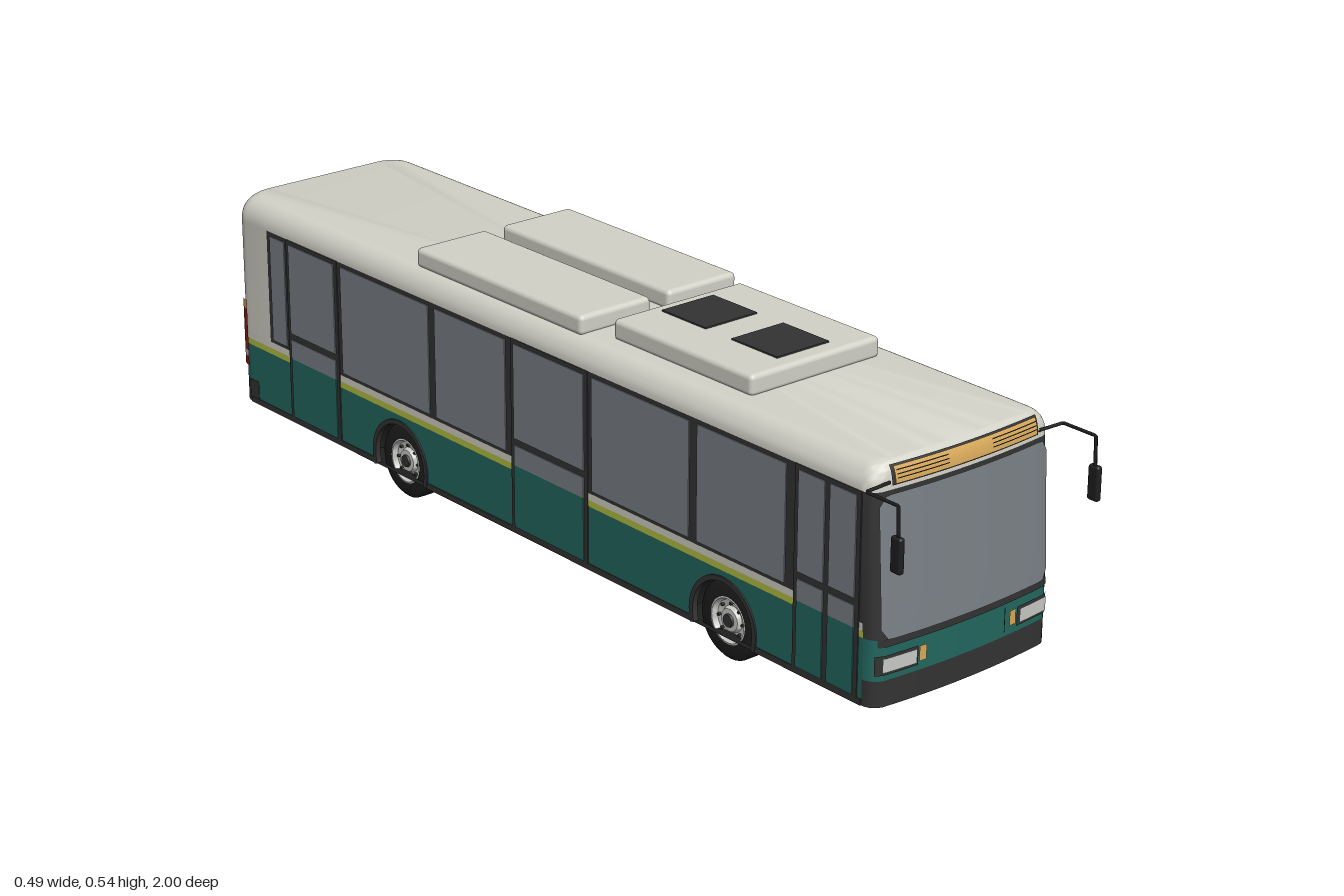
import * as THREE from 'three';
import { toCreasedNormals } from 'three/addons/utils/BufferGeometryUtils.js';
import { RoundedBoxGeometry } from 'three/addons/geometries/RoundedBoxGeometry.js';

const mat = (name, color, side = THREE.FrontSide) => {
  const m = new THREE.MeshStandardMaterial({ color, side });
  m.name = name;
  return m;
};

// Main dimensions: half width, rear, corner radii, front bow, wheel radius
const W = 0.217, REAR = -0.996, RF = 0.03, RR = 0.04, BOW = 0.014;
const EAVE = 0.45, ARC = 0.047, AXLES = [0.53, -0.436], HUB_Y = 0.077, ARCH = 0.086;

const eave = (y) => {
  const s = THREE.MathUtils.clamp((y - EAVE) / ARC, 0, 1);
  return 1 - Math.sqrt(1 - s * s);
};
const nose = (y) => 0.929 - 0.016 * THREE.MathUtils.clamp((y - 0.18) / 0.27, 0, 1) - 0.02 * eave(y);
const frontZ = (x, y) => {
  const a = W - RF, ax = Math.abs(x), m = Math.min(ax, a);
  const z = nose(y) - BOW * (m / W) ** 2;
  return ax <= a ? z : z - RF + Math.sqrt(Math.max(0, RF * RF - (ax - a) ** 2));
};

// One horizontal outline of the body; each point is tagged with the zone that follows it
function outline(y, o = 0) {
  const e = eave(y), w = W + o - 0.042 * e, a = w - RF, zb = REAR - o + 0.02 * e, pts = [];
  const add = (x, z, zone) => pts.push({ x, y, z, zone });
  const zAt = (x) => nose(y) + o - BOW * (x / W) ** 2;
  const zc = zAt(a) - RF;
  const arc = (cx, cz, r, from, zone) => {
    for (let i = 0; i < 6; i++) {
      const t = from + (i / 6) * Math.PI / 2;
      add(cx + r * Math.cos(t), cz - r * Math.sin(t), zone);
    }
  };
  for (let i = 0; i < 12; i++) { const x = -a + (2 * a * i) / 12; add(x, zAt(x), 'front'); }
  arc(a, zc, RF, -Math.PI / 2, 'frontCorner');
  add(w, zc, 'side');
  add(w, -0.88, 'rearSide');
  arc(w - RR, zb + RR, RR, 0, 'rearCorner');
  add(w - RR, zb, 'rear');
  arc(-w + RR, zb + RR, RR, Math.PI / 2, 'rearCorner');
  add(-w, zb + RR, 'rearSide');
  add(-w, -0.88, 'side');
  arc(-a, zc, RF, Math.PI, 'frontCorner');
  return pts;
}

// Skin between stacked outlines, limited to some zones, with optional flat caps
function skin(ys, zones, o = 0, cap = 0) {
  const rings = ys.map((y) => outline(y, o)), n = rings[0].length, pos = [], idx = [];
  rings.flat().forEach((p) => pos.push(p.x, p.y, p.z));
  for (let k = 0; k < ys.length - 1; k++) for (let i = 0; i < n; i++) {
    if (zones && !zones.includes(rings[k][i].zone)) continue;
    const j = (i + 1) % n, a = k * n + i, b = k * n + j;
    idx.push(a, b, b + n, a, b + n, a + n);
  }
  if (cap) {
    const base = cap > 0 ? (ys.length - 1) * n : 0, c = pos.length / 3;
    pos.push(0, cap > 0 ? ys[ys.length - 1] : ys[0], 0);
    for (let i = 0; i < n; i++) {
      const a = base + i, b = base + ((i + 1) % n);
      idx.push(c, cap > 0 ? a : b, cap > 0 ? b : a);
    }
  }
  const g = new THREE.BufferGeometry();
  g.setAttribute('position', new THREE.Float32BufferAttribute(pos, 3));
  g.setIndex(idx);
  return toCreasedNormals(g, 0.6);
}

export function createModel() {
  const cream = mat('cream paint', 0xd3d2c8), teal = mat('teal paint', 0x22675f);
  const dark = mat('dark trim', 0x333333), black = mat('black rubber', 0x1e1e1e, THREE.DoubleSide);
  const glass = mat('grey glass', 0x7a8086), amber = mat('amber', 0xd8a95a);
  const lime = mat('lime stripe', 0xb4c043), red = mat('red lamp', 0x951f1b), silver = mat('silver', 0xc9c9c6);

  const model = new THREE.Group();
  model.name = 'bus';
  const bus = new THREE.Group();
  bus.name = 'vehicle';
  bus.position.x = 0.0215;
  model.add(bus);
  const put = (name, geo, m, x = 0, y = 0, z = 0, parent = bus) => {
    const mesh = new THREE.Mesh(geo, m);
    mesh.name = name;
    mesh.position.set(x, y, z);
    parent.add(mesh);
    return mesh;
  };
  const box = (name, m, x0, x1, y0, y1, z0, z1) =>
    put(name, new THREE.BoxGeometry(x1 - x0, y1 - y0, z1 - z0), m, (x0 + x1) / 2, (y0 + y1) / 2, (z0 + z1) / 2);
  const sidePlate = (name, m, s, z0, z1, y0, y1, o = 0.002) =>
    put(name, new THREE.BoxGeometry(0.006, y1 - y0, z1 - z0), m, s * (W + o - 0.003), (y0 + y1) / 2, (z0 + z1) / 2);
  const rearPlate = (name, m, x0, x1, y0, y1, o = 0.002) => box(name, m, x0, x1, y0, y1, REAR - o, REAR + 0.005);
  // Thin plate that follows the bowed front, with optional rounded corners
  const frontPlate = (name, m, x0, x1, y0, y1, o = 0.003, r = 0) => {
    const g = new THREE.PlaneGeometry(x1 - x0, y1 - y0, 32, 8), p = g.attributes.position;
    const cx = (x0 + x1) / 2, cy = (y0 + y1) / 2, h = (y1 - y0) / 2;
    for (let i = 0; i < p.count; i++) {
      const x = p.getX(i) + cx, d = Math.min(x - x0, x1 - x);
      const inset = d < r ? r - Math.sqrt(Math.max(0, r * r - (r - d) ** 2)) : 0;
      const y = cy + p.getY(i) * (h - inset) / h;
      p.setXYZ(i, x, y, frontZ(x, y) + o);
    }
    g.computeVertexNormals();
    return put(name, g, m);
  };

  // Body shell in horizontal colour bands
  const F = ['front', 'frontCorner'], R = ['rear', 'rearCorner'];
  put('floor', skin([0.05, 0.051], [], 0, -1), black);
  put('bumpers', skin([0.05, 0.1], [...F, ...R]), dark);
  put('lowerEnds', skin([0.1, 0.178], [...F, ...R]), teal);
  put('limeStripe', skin([0.178, 0.191], ['side', 'rearSide', 'rearCorner']), lime);
  put('creamStripe', skin([0.191, 0.205], ['side', 'rearSide', 'rearCorner']), cream);
  put('lowerRear', skin([0.178, 0.205], ['rear']), cream);
  put('frontFrame', skin([0.178, 0.205, 0.447], F), dark);
  put('windowBand', skin([0.205, 0.447], ['side']), dark);
  put('rearShell', skin([0.205, 0.447], ['rearSide', ...R]), cream);
  const roofYs = [0.447];
  for (let i = 0; i <= 10; i++) roofYs.push(EAVE + ARC * Math.sin((i / 10) * Math.PI / 2));
  put('roof', skin(roofYs, null, 0, 1), cream);

  // Lower side panels with wheel arches cut out
  const zF = frontZ(W - RF, 0.1) - RF, zR = REAR + RR, dip = Math.asin((HUB_Y - 0.05) / ARCH);
  const half = ARCH * Math.cos(dip);
  const panel = new THREE.Shape();
  panel.moveTo(zR, 0.05);
  for (const z of [...AXLES].reverse()) {
    panel.lineTo(z - half, 0.05);
    panel.absarc(z, HUB_Y, ARCH, Math.PI + dip, -dip, true);
  }
  panel.lineTo(zF, 0.05).lineTo(zF, 0.178).lineTo(zR, 0.178).closePath();
  const panelGeo = new THREE.ExtrudeGeometry(panel, { depth: 0.01, bevelEnabled: false, curveSegments: 24 });
  const lip = new THREE.Shape();
  lip.absarc(0, 0, 0.09, -dip, Math.PI + dip, false);
  lip.absarc(0, 0, 0.08, Math.PI + dip, -dip, true);
  const lipGeo = new THREE.ExtrudeGeometry(lip, { depth: 0.012, bevelEnabled: false, curveSegments: 24 });

  // Wheel profiles
  const tyreGeo = (w) => new THREE.LatheGeometry([[0.046, -w / 2], [0.07, -w / 2], [0.077, -w / 2 + 0.007],
    [0.077, w / 2 - 0.007], [0.07, w / 2], [0.046, w / 2]].map((p) => new THREE.Vector2(...p)), 36);
  const rimGeo = toCreasedNormals(new THREE.LatheGeometry([[0.048, -0.02], [0.048, 0.021], [0.043, 0.022], [0.038, 0.012],
    [0.026, 0.01], [0.022, 0.018], [0, 0.019]].map((p) => new THREE.Vector2(...p)), 32), 0.5);

  const panes = [[0.724, 0.868], [0.457, 0.69], [0.163, 0.435], [-0.072, 0.147], [-0.313, -0.094], [-0.623, -0.334], [-0.87, -0.64]];
  const sills = [[zR, AXLES[1] - half], [AXLES[1] + half, AXLES[0] - half], [AXLES[0] + half, zF]];

  for (const s of [-1, 1]) {
    const p = put('sidePanel', panelGeo, teal, s < 0 ? -W + 0.01 : W);
    p.rotation.y = -Math.PI / 2;
    for (const [a, b] of sills) sidePlate('sill', dark, s, a, b, 0.05, 0.062);
    sidePlate('rearBumperEnd', dark, s, -0.958, -0.93, 0.062, 0.1, 0.001);
    for (const z of AXLES) {
      const l = put('archLip', lipGeo, dark, s < 0 ? -W + 0.009 : W + 0.003, HUB_Y, z);
      l.rotation.y = -Math.PI / 2;
      const liner = put('archLiner', new THREE.CylinderGeometry(0.086, 0.086, 0.12, 24, 1, true, 0, Math.PI), black, s * 0.152, HUB_Y, z);
      liner.rotation.z = Math.PI / 2;
      // Twin wheel with rim and bolts
      const wheel = new THREE.Group();
      wheel.name = 'wheel';
      wheel.position.set(s * 0.184, HUB_Y, z);
      wheel.rotation.z = -s * Math.PI / 2;
      bus.add(wheel);
      put('outerTyre', tyreGeo(0.043), black, 0, 0, 0, wheel);
      put('innerTyre', tyreGeo(0.041), black, 0, -0.047, 0, wheel);
      put('rim', rimGeo, silver, 0, 0, 0, wheel);
      put('hubCap', new THREE.CylinderGeometry(0.012, 0.014, 0.01, 16), dark, 0, 0.018, 0, wheel);
      for (let i = 0; i < 8; i++) {
        const t = (i * Math.PI) / 4;
        put('bolt', new THREE.CylinderGeometry(0.003, 0.003, 0.008, 6), dark, 0.032 * Math.cos(t), 0.013, 0.032 * Math.sin(t), wheel);
      }
    }
    // Side windows
    panes.forEach(([a, b], i) => {
      if (s < 0 && [0, 3, 6].includes(i)) return;
      sidePlate('sideWindow', glass, s, a, b, 0.212, 0.438);
    });
    // Mirrors on bent arms
    const arm = new THREE.CurvePath(), v = [[0.18, 0.462, 0.905], [0.238, 0.462, 0.908], [0.238, 0.462, 0.986], [0.238, 0.4, 0.988]]
      .map(([x, y, z]) => new THREE.Vector3(s * x, y, z));
    for (let i = 0; i < 3; i++) arm.add(new THREE.LineCurve3(v[i], v[i + 1]));
    put('mirrorArm', new THREE.TubeGeometry(arm, 36, 0.0035, 6), black);
    put('mirror', new RoundedBoxGeometry(0.013, 0.067, 0.025, 2, 0.005), black, s * 0.239, 0.374, 0.9875);
    // Headlamps and indicators
    const lamp = (name, m, a, b, y0, y1, o) => frontPlate(name, m, Math.min(s * a, s * b), Math.max(s * a, s * b), y0, y1, o);
    lamp('headlampFrame', dark, 0.121, 0.21, 0.112, 0.149, 0.003);
    lamp('headlamp', silver, 0.126, 0.2, 0.118, 0.145, 0.006);
    lamp('indicator', amber, 0.102, 0.118, 0.118, 0.147, 0.003);
    // Roof pods behind
    put('roofPod', new RoundedBoxGeometry(0.17, 0.04, 0.505, 3, 0.01), cream, s * 0.106, 0.512, -0.152);
  }

  // Doors on the right side: [frame from, to, leaf edges]
  for (const leaves of [[[0.724, 0.79], [0.803, 0.868]], [[-0.066, 0.141]], [[-0.8, -0.645]]]) {
    const a = leaves[0][0], b = leaves[leaves.length - 1][1];
    sidePlate('doorFrame', dark, -1, a - 0.01, b + 0.01, 0.055, 0.447, 0.002);
    for (const [l, r] of leaves) {
      sidePlate('doorGlass', glass, -1, l, r, 0.247, 0.438, 0.004);
      sidePlate('doorLowerGlass', glass, -1, l, r, 0.192, 0.233, 0.004);
      sidePlate('doorPanel', teal, -1, l, r, 0.064, 0.192, 0.004);
    }
  }
  sidePlate('rearQuarterGlass', glass, -1, -0.868, -0.818, 0.212, 0.438);

  // Windscreen, waist strip, hatch line and destination sign
  frontPlate('waistStrip', dark, -0.206, 0.206, 0.164, 0.179, 0.002);
  frontPlate('windscreen', glass, -0.202, 0.202, 0.178, 0.441, 0.004, 0.02);
  frontPlate('hatchLine', dark, 0.0875, 0.0895, 0.11, 0.158);
  frontPlate('signFrame', dark, -0.176, 0.176, 0.456, 0.491, 0.004);
  frontPlate('sign', amber, -0.171, 0.171, 0.459, 0.489, 0.007);
  for (const s of [-1, 1]) for (const y of [0.468, 0.475, 0.482])
    frontPlate('signLine', dark, s < 0 ? -0.168 : 0.053, s < 0 ? -0.053 : 0.168, y, y + 0.0018, 0.009);

  // Front roof unit with two vents
  put('roofUnit', new RoundedBoxGeometry(0.312, 0.042, 0.38, 3, 0.01), cream, 0, 0.514, 0.34);
  for (const z of [0.24, 0.433]) box('roofVent', dark, -0.063, 0.063, 0.53, 0.538, z - 0.061, z + 0.061);

  // Rear window, sign, hatch seam, plate and wrap-around tail lamps
  rearPlate('rearWindowFrame', dark, -0.185, 0.185, 0.275, 0.428);
  rearPlate('rearWindow', glass, -0.175, 0.175, 0.284, 0.419, 0.004);
  rearPlate('rearSign', amber, -0.085, 0.085, 0.44, 0.468);
  rearPlate('brakeLamp', red, -0.05, 0.05, 0.472, 0.479, 0);
  for (let i = 0; i < 16; i++) rearPlate('hatchSlot', dark, -0.163 + i * 0.021, -0.152 + i * 0.021, 0.244, 0.247);
  rearPlate('plateFrame', dark, -0.05, 0.05, 0.117, 0.144);
  rearPlate('plate', silver, -0.045, 0.045, 0.121, 0.14, 0.003);
  for (const [m, a, b] of [[red, 0.13, 0.15], [silver, 0.15, 0.163], [red, 0.163, 0.255], [amber, 0.255, 0.275]])
    put('tailLamp', skin([a, b], ['rearCorner'], 0.003), m);

  return model;
}
